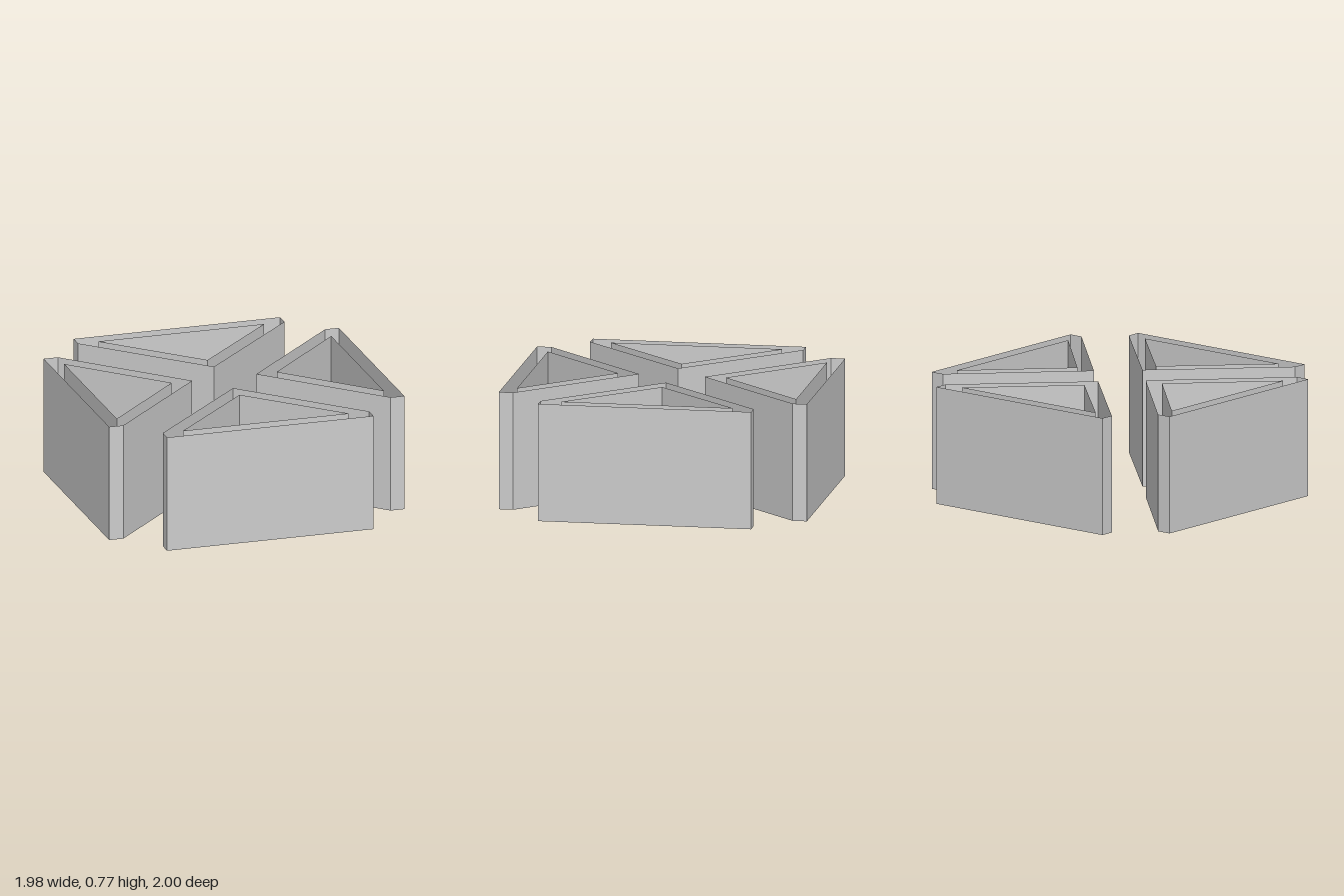
import * as THREE from 'three';

const HEIGHT = 0.766;

// Open vertical walls following a closed outline of [x, z] points
function wallGeometry(points) {
  const pos = [];
  points.forEach(([ax, az], i) => {
    const [bx, bz] = points[(i + 1) % points.length];
    pos.push(ax, 0, az, bx, 0, bz, bx, HEIGHT, bz);
    pos.push(ax, 0, az, bx, HEIGHT, bz, ax, HEIGHT, az);
  });
  const geometry = new THREE.BufferGeometry();
  geometry.setAttribute('position', new THREE.Float32BufferAttribute(pos, 3));
  geometry.computeVertexNormals();
  return geometry;
}

export function createModel() {
  const model = new THREE.Group();
  model.name = 'fourTriangularCells';
  const material = new THREE.MeshStandardMaterial({
    color: 0xcccccc, flatShading: true, side: THREE.DoubleSide,
  });

  // One wedge-shaped cell per side, each pointing at the centre
  const cells = [
    { name: 'frontCell', rim: 1, shift: -0.009 },
    { name: 'leftCell', rim: 0.987, shift: 0 },
    { name: 'backCell', rim: 1, shift: 0 },
    { name: 'rightCell', rim: 0.99, shift: 0 },
  ];

  cells.forEach(({ name, rim, shift }, i) => {
    const cell = new THREE.Group();
    cell.name = name;

    // Outer shell: triangle with its two wide corners cut square
    const corner = rim === 1 ? 0.908 : 0.896;
    const outer = new THREE.Mesh(wallGeometry([
      [-0.691 + shift, rim], [0.691 + shift, rim], [0.691 + shift, corner],
      [shift, 0.216], [-0.691 + shift, corner],
    ]), material);
    outer.name = 'outerWalls';

    // Inner shell: the triangular opening, facing inwards
    const inner = new THREE.Mesh(wallGeometry([
      [-0.555 + shift, rim - 0.094], [shift, 0.352], [0.555 + shift, rim - 0.094],
    ]), material);
    inner.name = 'innerWalls';

    cell.add(outer, inner);
    cell.rotation.y = (i * Math.PI) / 2;
    model.add(cell);
  });

  return model;
}
